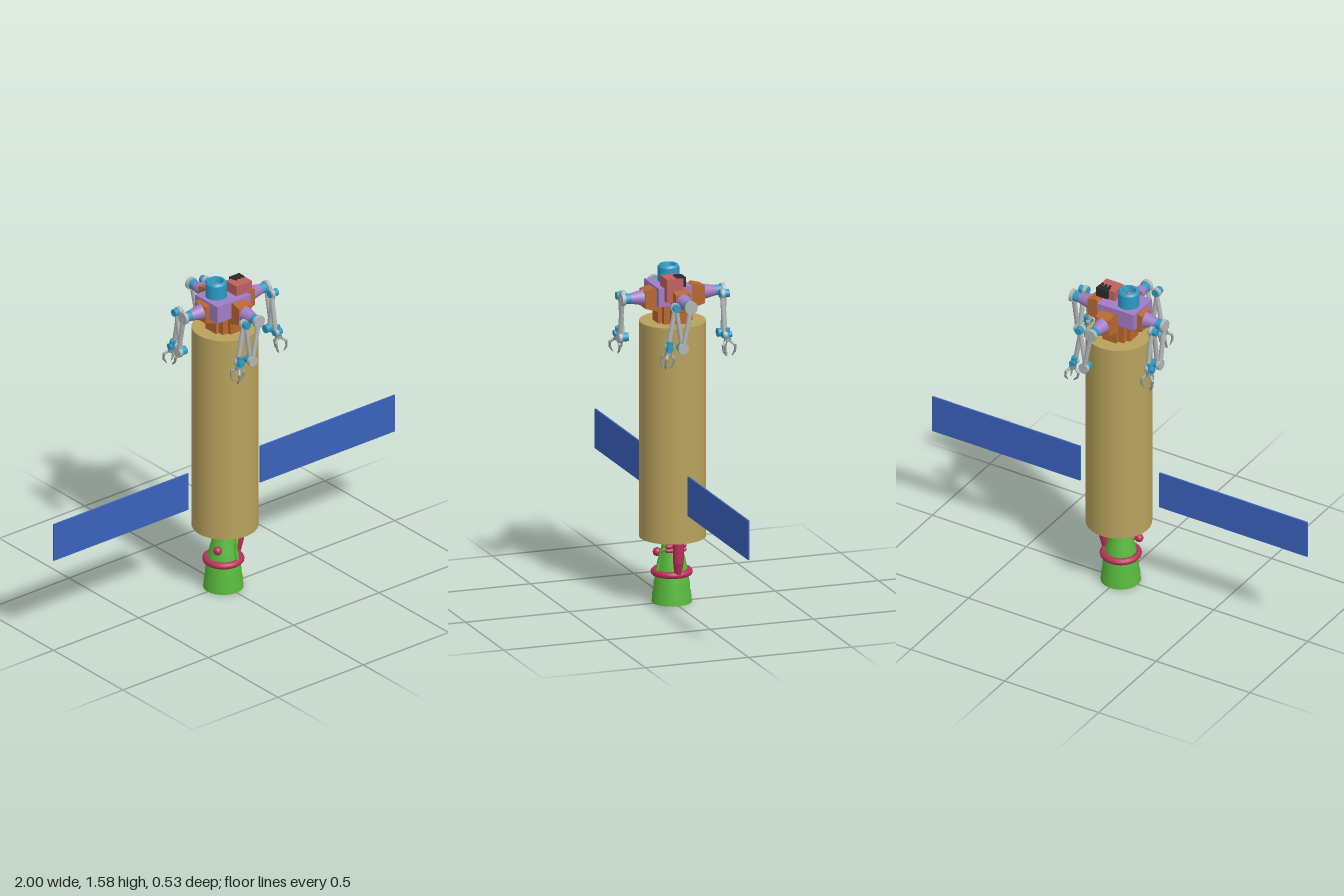
import * as THREE from 'three';

const mat = (color, double) => new THREE.MeshStandardMaterial({ color, side: double ? THREE.DoubleSide : THREE.FrontSide });
const M = {
  gold: mat(0xb8a25c), panel: mat(0x3a62bc), nozzle: mat(0x58ba3c, true), pipe: mat(0xb8305a),
  orange: mat(0xb8672f), purple: mat(0xa27cc4), red: mat(0xbe6060), dark: mat(0x2a2a2c),
  blue: mat(0x2a9cc6, true), grey: mat(0xb2b6b6), finger: mat(0x8c9090),
};
const V = (x, y, z) => new THREE.Vector3(x, y, z);

function add(parent, name, geo, material, x = 0, y = 0, z = 0) {
  const m = new THREE.Mesh(geo, material);
  m.name = name;
  m.position.set(x, y, z);
  parent.add(m);
  return m;
}
const box = (w, h, d) => new THREE.BoxGeometry(w, h, d);
const lathe = (pts, n = 32) => new THREE.LatheGeometry(pts.map(p => new THREE.Vector2(...p)), n);

// Straight rod between two points
function rod(parent, name, a, b, r0, r1, material, n = 10) {
  const d = b.clone().sub(a);
  const m = add(parent, name, new THREE.CylinderGeometry(r1, r0, d.length(), n), material);
  m.position.copy(a).addScaledVector(d, 0.5);
  m.quaternion.setFromUnitVectors(V(0, 1, 0), d.normalize());
  return m;
}

// Folded manipulator, hanging on the +z side
function createArm() {
  const arm = new THREE.Group();
  arm.name = 'roboticArm';
  rod(arm, 'shoulderCone', V(0, 1.45, 0.14), V(0, 1.45, 0.205), 0.037, 0.024, M.purple, 20);
  const pts = [V(0, 1.45, 0.228), V(-0.037, 1.26, 0.228), V(-0.067, 1.45, 0.228), V(-0.1, 1.265, 0.228)];
  const layer = [0.014, 0.014, -0.012, -0.012];
  // Joints with a pale cap
  pts.forEach((p, i) => {
    const r = [0.03, 0.025, 0.022, 0.018][i];
    rod(arm, 'joint', V(p.x, p.y, p.z - 0.025), V(p.x, p.y, p.z + 0.02), r * 0.8, r * 0.8, M.blue, 16);
    rod(arm, 'jointCap', V(p.x, p.y, p.z + layer[i] - 0.008), V(p.x, p.y, p.z + layer[i] + 0.009), r, r, M.grey, 16);
  });
  // Links
  [[0, 0.014], [1, 0], [2, -0.012]].forEach(([i, off]) => {
    const o = V(0, 0, off);
    rod(arm, 'link', pts[i].clone().add(o), pts[i + 1].clone().add(o), 0.011, 0.011, M.grey);
  });
  // Three-fingered gripper
  const grip = new THREE.Group();
  grip.name = 'gripper';
  grip.position.copy(pts[3]);
  grip.rotation.z = -0.17;
  rod(grip, 'wrist', V(0, 0.03, 0), V(0, -0.022, 0), 0.014, 0.014, M.blue, 14);
  rod(grip, 'palm', V(0, -0.018, 0), V(0, -0.032, 0), 0.016, 0.018, M.finger, 14);
  for (let i = 0; i < 3; i++) {
    const f = new THREE.Group();
    f.name = 'finger';
    f.rotation.y = i * Math.PI * 2 / 3;
    rod(f, 'knuckle', V(0.008, -0.025, 0), V(0.034, -0.05, 0), 0.006, 0.006, M.grey, 8);
    rod(f, 'fingerMiddle', V(0.034, -0.045, 0), V(0.032, -0.075, 0), 0.006, 0.005, M.finger, 8);
    rod(f, 'fingertip', V(0.033, -0.072, 0), V(0.016, -0.096, 0), 0.006, 0.002, M.finger, 8);
    grip.add(f);
  }
  arm.add(grip);
  return arm;
}

function createHead() {
  const head = new THREE.Group();
  head.name = 'head';
  head.position.x = 0.006;
  // Bracket profile, measured outward and up
  const s = new THREE.Shape([[0, 1.33], [0.083, 1.33], [0.083, 1.385], [0.145, 1.405], [0.145, 1.485],
    [0.1, 1.497], [0.06, 1.47], [0, 1.47]].map(p => new THREE.Vector2(...p)));
  const bracket = new THREE.ExtrudeGeometry(s, { depth: 0.074, bevelEnabled: false })
    .translate(0, 0, -0.037).rotateY(-Math.PI / 2);
  for (let i = 0; i < 4; i++) {
    const side = new THREE.Group();
    side.name = 'armMount';
    side.rotation.y = i * Math.PI / 2;
    add(side, 'bracket', bracket, M.orange);
    side.add(createArm());
    head.add(side);
  }
  add(head, 'electronicsBox', box(0.195, 0.085, 0.16), M.purple, -0.023, 1.46, 0.012);
  add(head, 'baseBlock', box(0.13, 0.09, 0.13), M.orange, 0, 1.375, 0);
  // Sensor boxes
  add(head, 'sensorBox', box(0.092, 0.11, 0.078), M.red, 0.06, 1.497, 0.026);
  add(head, 'sensorBack', box(0.06, 0.045, 0.03), M.dark, 0.075, 1.533, -0.012);
  for (let i = 0; i < 3; i++) add(head, 'sensorFin', box(0.008, 0.008, 0.03), M.dark, 0.055 + i * 0.02, 1.555, 0.002);
  // Hollow camera barrel with lens
  add(head, 'cameraBarrel', lathe([[0, 1.49], [0.049, 1.49], [0.049, 1.49], [0.049, 1.57], [0.049, 1.57],
    [0.042, 1.58], [0.042, 1.58], [0.033, 1.58], [0.033, 1.58], [0.028, 1.555], [0.028, 1.555], [0, 1.555]]), M.blue, -0.052);
  add(head, 'cameraLens', new THREE.SphereGeometry(0.016, 16, 10), M.red, -0.052, 1.553, 0);
  return head;
}

function createEngine() {
  const engine = new THREE.Group();
  engine.name = 'engine';
  engine.position.x = -0.004;
  // Bell with stepped bands
  add(engine, 'nozzle', lathe([[0.092, 0], [0.088, 0.05], [0.085, 0.052], [0.082, 0.1], [0.079, 0.102],
    [0.075, 0.145], [0.063, 0.2], [0.05, 0.25], [0.04, 0.3], [0.038, 0.33]], 28), M.nozzle);
  add(engine, 'ringManifold', new THREE.TorusGeometry(0.08, 0.016, 12, 36).rotateX(Math.PI / 2), M.pipe, 0, 0.143, 0);
  // Feed line down to the manifold
  rod(engine, 'feedPipe', V(0.088, 0.33, 0), V(0.088, 0.21, 0), 0.025, 0.025, M.pipe, 18);
  rod(engine, 'feedTaper', V(0.088, 0.21, 0), V(0.08, 0.15, 0), 0.025, 0.016, M.pipe, 18);
  // Pump coils and their stub to the chamber
  for (const y of [0.255, 0.275, 0.295])
    add(engine, 'pumpCoil', new THREE.CapsuleGeometry(0.01, 0.082, 4, 12).rotateX(Math.PI / 2), M.pipe, 0.056, y, 0);
  rod(engine, 'pumpStub', V(0.02, 0.275, 0), V(0.088, 0.275, 0), 0.02, 0.02, M.pipe, 14);
  // Small pressure sphere on its pipe
  add(engine, 'pressureSphere', new THREE.SphereGeometry(0.02, 18, 12), M.pipe, -0.07, 0.22, 0.045);
  rod(engine, 'spherePipe', V(-0.07, 0.22, 0.045), V(-0.03, 0.22, 0.02), 0.007, 0.007, M.pipe, 10);
  // Side line along the chamber
  const line = new THREE.CatmullRomCurve3([V(0.05, 0.26, 0.04), V(0.03, 0.25, 0.06), V(0.02, 0.2, 0.066), V(0.02, 0.145, 0.08)]);
  add(engine, 'coolantLine', new THREE.TubeGeometry(line, 20, 0.007, 8), M.nozzle);
  return engine;
}

export function createModel() {
  const model = new THREE.Group();
  model.name = 'spacecraft';
  add(model, 'body', new THREE.CylinderGeometry(0.152, 0.152, 1.018, 32), M.gold, 0.006, 0.821, 0);
  for (const s of [-1, 1]) add(model, 'solarPanel', box(0.79, 0.185, 0.008), M.panel, s * 0.605, 0.5525, 0);
  model.add(createEngine(), createHead());
  return model;
}
